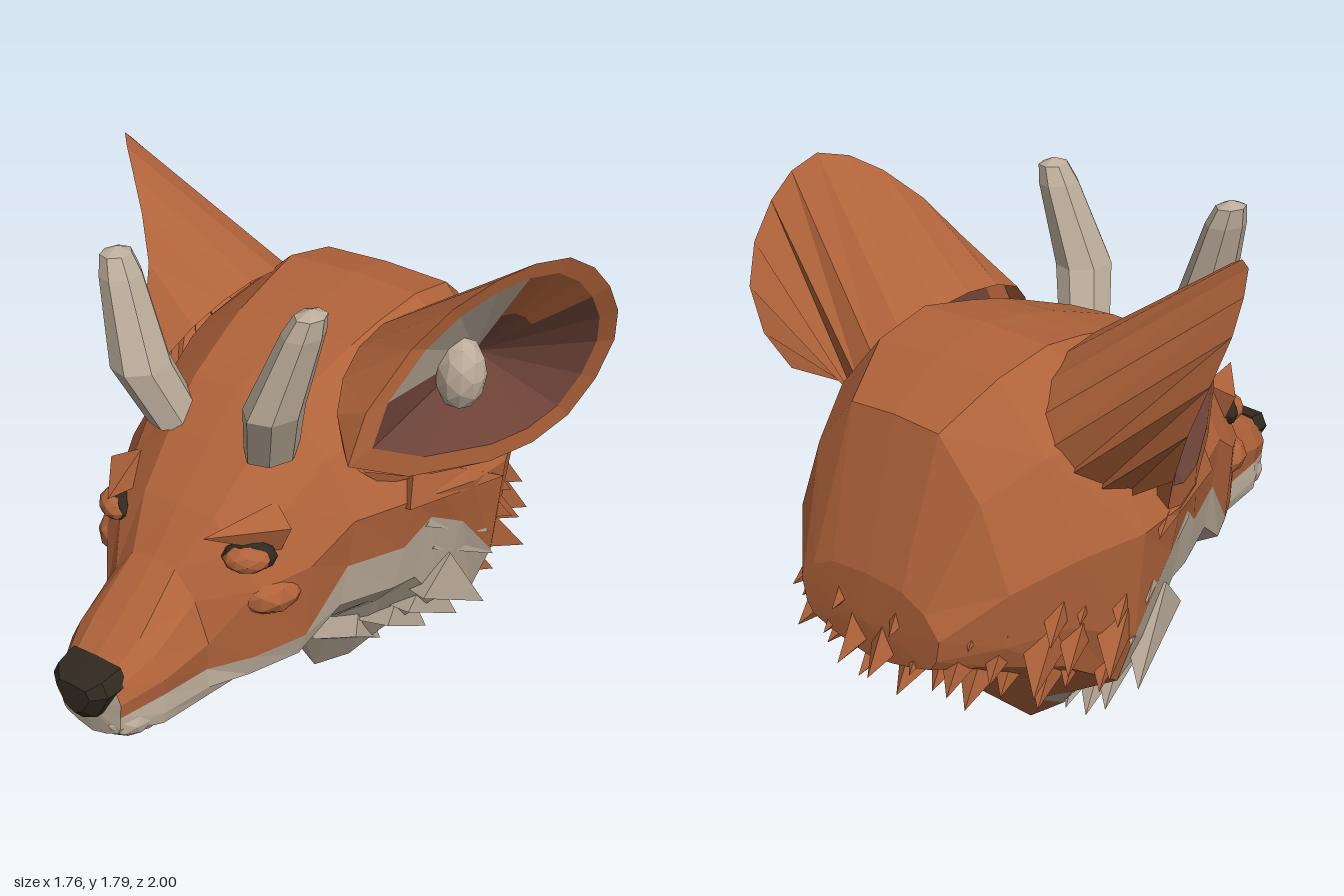
import * as THREE from 'three';

const mat = (name, color) => new THREE.MeshStandardMaterial({ name, color, side: THREE.DoubleSide });
const V = (p) => new THREE.Vector3(...p);
const mix = THREE.MathUtils.lerp;

// Flat-faced geometry from a list of triangles
function fromTriangles(tris) {
  const g = new THREE.BufferGeometry().setFromPoints(tris.flat());
  g.computeVertexNormals();
  return g;
}

// Triangles joining two closed rings of points
function bridge(a, b, flip = false, keep = () => true) {
  const out = [], n = a.length;
  for (let j = 0; j < n; j++) {
    if (!keep(j)) continue;
    const k = (j + 1) % n;
    if (flip) out.push([a[k], a[j], b[j]], [a[k], b[j], b[k]]);
    else out.push([a[j], a[k], b[k]], [a[j], b[k], b[j]]);
  }
  return out;
}

// Triangles closing a ring onto one point
const fan = (ring, c, front) => ring.map((p, j) => {
  const q = ring[(j + 1) % ring.length];
  return front ? [c, q, p] : [c, p, q];
});

// Closed symmetric ring from a half profile running top to bottom
function fullRing(z, half) {
  const right = half.map(([x, y]) => V([x, y, z]));
  const left = half.slice(1, -1).reverse().map(([x, y]) => V([-x, y, z]));
  return [...right, ...left];
}

function flat(g) {
  const f = g.index ? g.toNonIndexed() : g;
  f.computeVertexNormals();
  return f;
}

function mirrored(g) {
  const p = g.attributes.position, tris = [];
  for (let i = 0; i < p.count; i += 3) {
    const [a, b, c] = [0, 1, 2].map((k) => V([-p.getX(i + k), p.getY(i + k), p.getZ(i + k)]));
    tris.push([a, c, b]);
  }
  return fromTriangles(tris);
}

// Pointed tuft from base to tip
function spike(base, tip, r) {
  const b = V(base), d = V(tip).sub(b), len = d.length();
  const g = new THREE.ConeGeometry(r, len, 4, 1).translate(0, len / 2, 0);
  g.applyQuaternion(new THREE.Quaternion().setFromUnitVectors(V([0, 1, 0]), d.normalize()));
  return flat(g.translate(b.x, b.y, b.z));
}

function blob(r, scale, pos, turn = 0) {
  return flat(new THREE.IcosahedronGeometry(r, 1).scale(...scale).rotateY(turn).translate(...pos));
}

// Head cross-section: crown, brow, widest point, fur colour edge, jaw and throat
function headRing([z, top, crownW, wide, wideY, edgeY, bottom, jawW]) {
  const low = (t) => mix(edgeY, bottom, t);
  return fullRing(z, [
    [0, top], [crownW, top - .01], [mix(crownW, wide, .6), mix(top, wideY, .42)], [wide, wideY],
    [wide * .95, edgeY], [mix(wide, jawW, .35), low(.4)], [jawW, low(.65)], [jawW * .52, low(.86)], [0, bottom],
  ]);
}

export function createModel() {
  const model = new THREE.Group();
  model.name = 'hornedFoxHead';
  const orange = mat('orangeFur', 0xb0633a), cream = mat('creamFur', 0xbcad9b);
  const maroon = mat('innerEar', 0x6e4338), dark = mat('darkNose', 0x30291f);

  const add = (name, g, m) => {
    const mesh = new THREE.Mesh(g, m);
    mesh.name = name;
    model.add(mesh);
  };
  const pair = (name, g, m) => {
    add(name + 'Left', g, m);
    add(name + 'Right', mirrored(g), m);
  };

  // Head, from the muzzle to the back of the skull
  const head = [
    [.93, .71, .07, .12, .63, .58, .48, .1],
    [.80, .79, .09, .18, .67, .61, .45, .17],
    [.62, .93, .08, .20, .70, .60, .43, .18],
    [.50, 1.06, .13, .29, .86, .61, .43, .2],
    [.35, 1.2, .15, .38, .9, .64, .44, .25],
    [.20, 1.31, .17, .43, 1, .83, .44, .3],
    [0, 1.38, .2, .51, 1, .82, .41, .35],
    [-.09, 1.41, .21, .55, 1, .9, .28, .33],
    [-.22, 1.44, .22, .59, .99, .83, 0, .28],
    [-.40, 1.47, .24, .6, .98, .63, .17, .33],
    [-.60, 1.43, .23, .52, .95, .72, .36, .34],
    [-.78, 1.31, .17, .42, .88, .7, .51, .26],
    [-.92, .86, .14, .28, .74, .67, .58, .17],
  ].map(headRing);

  const upper = fan(head.at(-1), V([0, .7, -.93]), false);
  const lower = fan(head[0], V([0, .59, .95]), true);
  for (let i = 0; i < head.length - 1; i++) {
    const isCream = (j) => {
      const row = j < 8 ? j : 15 - j;
      return row >= 4 && (i < 8 || (i === 8 && row < 7));
    };
    upper.push(...bridge(head[i], head[i + 1], false, (j) => !isCream(j)));
    lower.push(...bridge(head[i], head[i + 1], false, isCream));
  }
  add('skull', fromTriangles(upper), orange);
  add('cheeksAndThroat', fromTriangles(lower), cream);
  add('chin', blob(.1, [.95, .65, 1.4], [0, .445, .72]), cream);
  pair('lip', blob(.1, [.75, .65, 1], [.08, .535, .84]), cream);

  // Nose: one outline scaled along z
  const noseHalf = [[0, .085], [.09, .08], [.115, .03], [.06, -.07], [0, -.1]];
  const nose = [[1, .65, .55], [.965, .645, .92], [.89, .65, 1]]
    .map(([z, y, s]) => fullRing(z, noseHalf.map(([px, py]) => [px * s, y + py * s])));
  add('nose', fromTriangles([
    ...fan(nose[0], V([0, .65, 1]), true),
    ...bridge(nose[0], nose[1]), ...bridge(nose[1], nose[2]),
  ]), dark);

  // Eyes, brows and cheekbones
  pair('eyeLiner', blob(.07, [1.2, .76, .55], [.25, .96, .482], .65), dark);
  pair('eye', blob(.07, [1.05, .66, .8], [.25, .96, .492], .65), orange);
  pair('brow', spike([.28, 1.02, .38], [.18, 1.06, .61], .075), orange);
  pair('cheekbone', blob(.12, [1, .65, 1], [.25, .82, .41]), orange);

  // Horns: bent, seven-sided and tapering
  const horn = [[.18, 1.19, .28, .095], [.245, 1.39, .355, .105], [.33, 1.65, .33, .074], [.35, 1.71, .325, .055]]
    .map(([x, y, z, r]) => Array.from({ length: 7 }, (_, k) => {
      const a = k / 7 * Math.PI * 2;
      return V([x + r * .82 * Math.cos(a), y, z + r * Math.sin(a)]);
    }));
  const hornTris = fan(horn[3], V([.35, 1.73, .325]), true);
  for (let i = 0; i < 3; i++) hornTris.push(...bridge(horn[i], horn[i + 1], true));
  pair('horn', fromTriangles(hornTris), cream);

  // Ears: curved rim, oval root and a hollow inside
  const rimCurve = new THREE.CatmullRomCurve3([[.40, 1.18, .2], [.49, 1.52, .02], [.67, 1.73, -.13], [.82, 1.79, -.27],
    [.88, 1.66, -.42], [.85, 1.42, -.56], [.75, 1.15, -.5], [.64, 1.08, -.22]].map(V), true);
  const steps = Array.from({ length: 16 }, (_, j) => j / 16);
  const rim = steps.map((t) => rimCurve.getPoint(t));
  const root = steps.map((t) => {
    const a = t * Math.PI * 2, s = Math.sin(a);
    return V([.36 - .11 * s, 1.22 + .22 * s, -.2 + .37 * Math.cos(a)]);
  });
  const middle = V([.65, 1.46, -.22]), deep = V([.5, 1.37, -.33]);
  const inner = rim.map((p) => p.clone().lerp(middle, .16));
  const hollow = inner.map((p) => p.clone().lerp(deep, .5));
  const lined = (j) => j >= 1 && j <= 4;
  const tip = (j) => j >= 5 && j <= 7;
  const floor = fan(hollow, deep, true);
  pair('earShell', fromTriangles([
    ...bridge(rim, root), ...bridge(rim, inner, true), ...bridge(inner, hollow, true, tip)]), orange);
  pair('earHollow', fromTriangles([
    ...bridge(inner, hollow, true, (j) => !lined(j) && !tip(j)), ...floor.filter((_, j) => !lined(j))]), maroon);
  pair('earLining', fromTriangles([
    ...bridge(inner, hollow, true, lined), ...floor.filter((_, j) => lined(j))]), cream);
  pair('earTuft', blob(.1, [.8, 1.2, .8], [.53, 1.36, -.2]), cream);

  // Cheek tufts
  [[.58, .72, -.36], [.57, .6, -.42], [.57, .43, -.38], [.46, .32, -.4], [.36, .24, -.37], [.22, .17, -.3]]
    .forEach(([x, y, z]) => pair('cheekTuft', spike([x * .78, y + .2, z + .2], [x, y, z], .12), cream));

  // Ruff: overlapping rows of tufts around the back
  pair('sideTuft', spike([.44, 1.04, -.02], [.62, .95, -.36], .11), orange);
  [[.57, 1, .1], [.71, .95, .2], [.47, .86, .15]].forEach(([rowY, size, start]) => {
    for (let k = 0; k < 7; k++) {
      const a = start + k * .21, reach = size * (k % 2 ? .94 : 1);
      const x = .62 * reach * Math.sin(a), z = -.45 - .55 * reach * Math.cos(a) + (1 - size) * .1;
      const y = rowY + (k % 2 ? .03 : 0);
      pair('ruffTuft', spike([x * .8, y + .14, z + .17], [x, y, z], .1), orange);
    }
  });

  return model;
}
